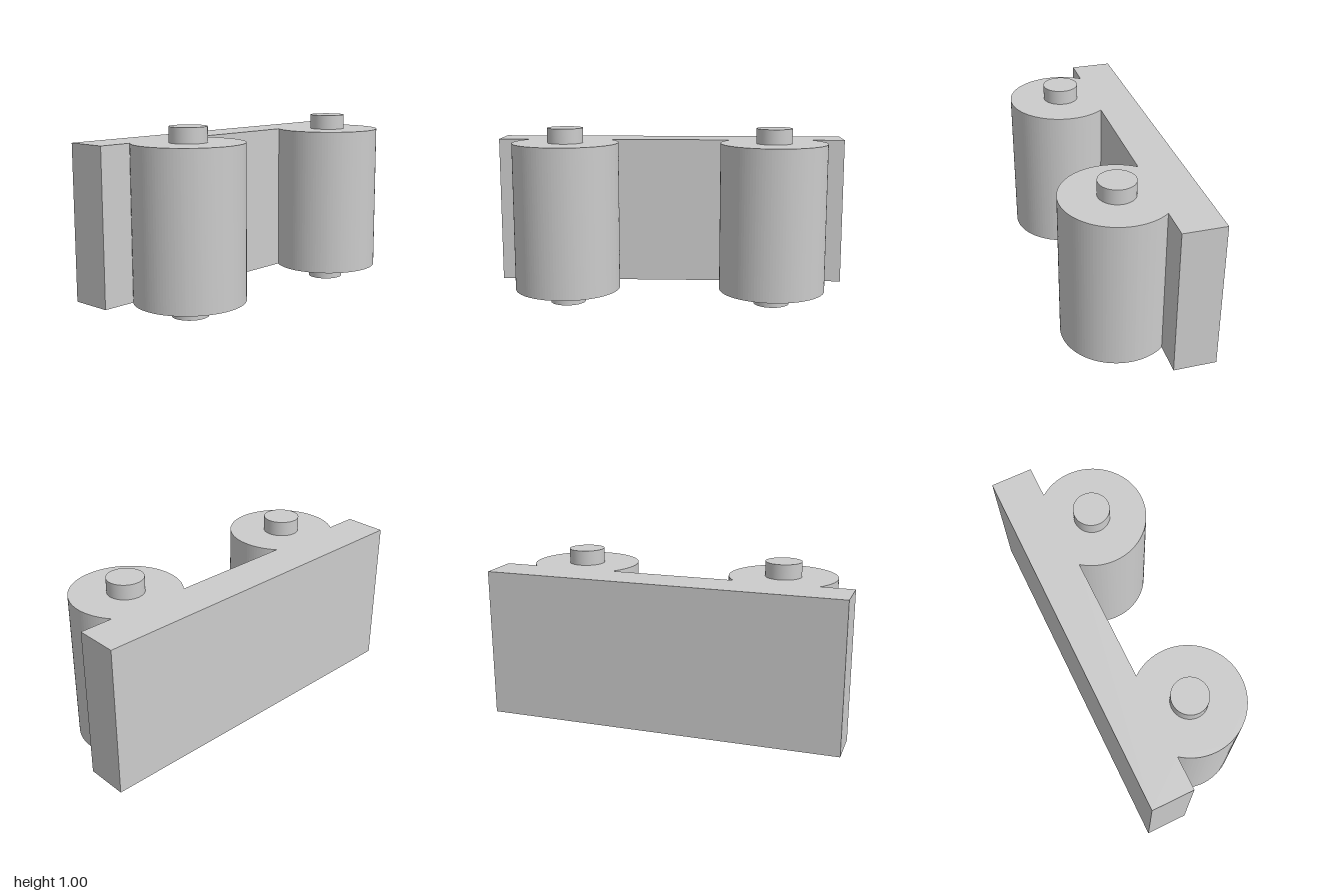
import * as THREE from 'three';

const BARREL = { x: 0.583, z: 0.06, r: 0.298 };
const BACK = -0.358, FRONT = -0.125; // plate faces in z
const BOTTOM = 0.083, TOP = 0.917;

export function createModel() {
  const group = new THREE.Group();
  const material = new THREE.MeshStandardMaterial({ color: 0xcccccc });

  // Plate with two barrels merged into its front, as one outline (shape y = model z)
  const start = Math.asin((FRONT - BARREL.z) / BARREL.r);
  const outline = new THREE.Shape();
  outline.moveTo(-1, BACK);
  outline.lineTo(1, BACK);
  outline.lineTo(1, FRONT);
  for (const side of [1, -1]) {
    outline.absarc(side * BARREL.x, BARREL.z, BARREL.r, start, Math.PI - start, false);
  }
  outline.lineTo(-1, FRONT);
  outline.closePath();

  const bodyGeometry = new THREE.ExtrudeGeometry(outline, {
    depth: TOP - BOTTOM, bevelEnabled: false, curveSegments: 40,
  });
  bodyGeometry.rotateX(Math.PI / 2);
  bodyGeometry.translate(0, TOP, 0);
  const body = new THREE.Mesh(bodyGeometry, material);
  body.name = 'plateWithBarrels';
  group.add(body);

  // Pins running through the barrels and showing at both ends
  const pinGeometry = new THREE.CylinderGeometry(0.1, 0.1, 1, 48);
  for (const side of [1, -1]) {
    const pin = new THREE.Mesh(pinGeometry, material);
    pin.name = side > 0 ? 'leftPin' : 'rightPin';
    pin.position.set(side * BARREL.x, 0.5, BARREL.z);
    group.add(pin);
  }
  return group;
}
